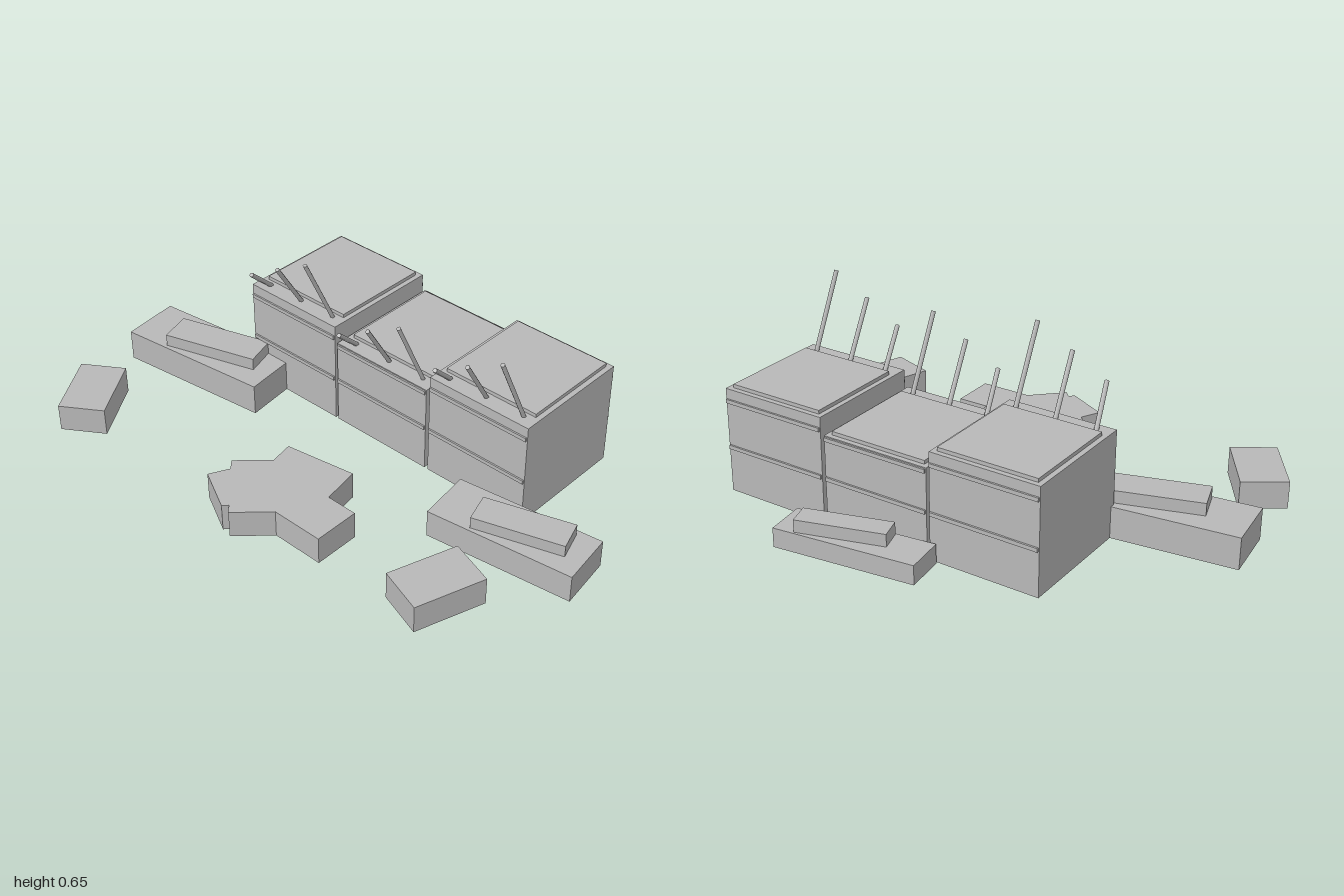
import * as THREE from 'three';

export function createModel() {
  const model = new THREE.Group();
  const concrete = new THREE.MeshStandardMaterial({ color: 0xb8b8b8 });
  concrete.name = 'concrete grey';

  function add(name, geometry, parent = model) {
    const mesh = new THREE.Mesh(geometry, concrete);
    mesh.name = name;
    parent.add(mesh);
    return mesh;
  }
  // Box resting on height y, turned about the vertical axis
  function box(name, [w, h, d], [x, y, z], turn = 0, parent = model) {
    const mesh = add(name, new THREE.BoxGeometry(w, h, d), parent);
    mesh.position.set(x, y + h / 2, z);
    mesh.rotation.y = turn;
    return mesh;
  }
  // Bar stretched between two points
  function bar(name, from, to, parent) {
    const a = new THREE.Vector3(...from), b = new THREE.Vector3(...to);
    const dir = b.clone().sub(a);
    const mesh = add(name, new THREE.CylinderGeometry(0.008, 0.008, dir.length(), 6), parent);
    mesh.position.copy(a).add(b).multiplyScalar(0.5);
    mesh.quaternion.setFromUnitVectors(new THREE.Vector3(0, 1, 0), dir.normalize());
  }

  // Three barrier blocks with lid, seams and leaning rods
  const blocks = [
    { x: -0.361, h: 0.383, seams: [0.168, 0.339] },
    { x: 0.052, h: 0.323, seams: [0.168, 0.312] },
    { x: 0.468, h: 0.383, seams: [0.168, 0.339] },
  ];
  const rods = [[-0.15, -0.112, 0.115], [0, 0.017, 0.19], [0.15, 0.15, 0.263]];
  for (const { x, h, seams } of blocks) {
    const group = new THREE.Group();
    group.name = 'barrierBlock';
    model.add(group);
    box('blockBody', [0.402, h, 0.455], [x, 0, -0.246], 0, group);
    box('blockLid', [0.365, 0.013, 0.375], [x, h, -0.268], 0, group);
    for (const y of seams) {
      for (const z of [-0.0165, -0.476]) {
        box('seamStrip', [0.395, 0.014, 0.008], [x, y - 0.007, z], 0, group);
      }
    }
    for (const [x0, x1, rise] of rods) {
      bar('leaningRod', [x + x0, h - 0.005, -0.063], [x + x1, h + rise, 0.066], group);
    }
  }

  // Fallen slabs, each with a smaller slab on top
  box('leftSlab', [0.587, 0.115, 0.216], [-0.69, 0, 0.088], 0.119);
  box('leftUpperSlab', [0.358, 0.045, 0.122], [-0.652, 0.115, 0.085], 0.303);
  box('rightSlab', [0.523, 0.1, 0.197], [0.73, 0, 0.105], 0.129);
  box('rightUpperSlab', [0.313, 0.042, 0.11], [0.765, 0.1, 0.105], 0.305);
  box('backSlab', [0.513, 0.07, 0.146], [0.056, 0, -0.585], 0.126);
  box('backUpperSlab', [0.313, 0.045, 0.083], [0.09, 0.07, -0.588], 0.295);

  // Loose chunks in front
  box('leftChunk', [0.166, 0.1, 0.257], [-0.82, 0, 0.532], 0.579);
  box('rightChunk', [0.169, 0.1, 0.254], [0.698, 0, 0.441], -0.322);

  // Jagged central piece, outline given as x, z
  const outline = [
    [-0.075, 0.3], [0.182, 0.259], [0.206, 0.398], [0.321, 0.398], [0.321, 0.564],
    [0.131, 0.564], [0.024, 0.668], [0, 0.642], [-0.016, 0.66], [-0.166, 0.583],
    [-0.131, 0.513], [-0.16, 0.481], [-0.059, 0.385],
  ];
  const shape = new THREE.Shape(outline.map(([x, z]) => new THREE.Vector2(x, -z)));
  const jagged = new THREE.ExtrudeGeometry(shape, { depth: 0.1, bevelEnabled: false });
  jagged.rotateX(-Math.PI / 2);
  add('jaggedRubble', jagged);

  return model;
}
